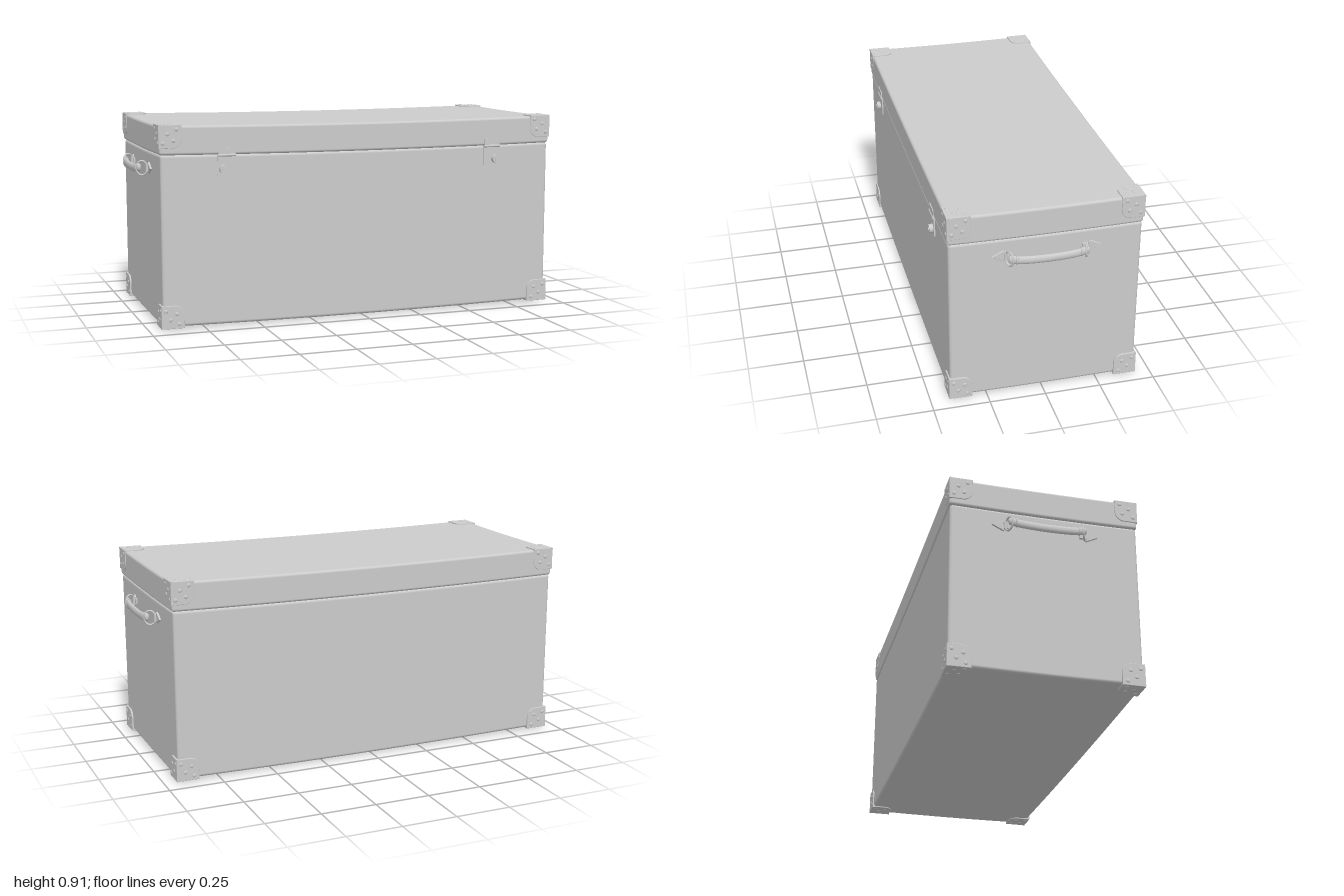
import * as THREE from 'three';

const material = new THREE.MeshStandardMaterial({ color: 0xcccccc, roughness: 0.7 });
const CZ = -0.007; // the case sits a touch behind centre

function add(parent, name, geometry, x = 0, y = 0, z = 0) {
  const mesh = new THREE.Mesh(geometry, material);
  mesh.name = name;
  mesh.position.set(x, y, z);
  parent.add(mesh);
  return mesh;
}

// Rounded box with enough rows to sag gently in the middle
function saggingBox(w, y0, y1, d, r) {
  const size = [w, y1 - y0, d], n = [24, 10, 16], m = 3;
  const geo = new THREE.BoxGeometry(...size, ...n);
  const pos = geo.attributes.position, nor = geo.attributes.normal;
  const core = new THREE.Vector3(), dir = new THREE.Vector3();
  for (let i = 0; i < pos.count; i++) {
    for (let a = 0; a < 3; a++) {
      const half = size[a] / 2, c = half - r;
      const k = Math.round((pos.getComponent(i, a) / size[a] + 0.5) * n[a]);
      let p;
      if (k < m) p = -half + (r * k) / m;
      else if (k > n[a] - m) p = half - (r * (n[a] - k)) / m;
      else p = -c + (2 * c * (k - m)) / (n[a] - 2 * m);
      const q = THREE.MathUtils.clamp(p, -c, c);
      core.setComponent(a, q);
      dir.setComponent(a, p - q);
    }
    dir.normalize();
    core.addScaledVector(dir, r);
    const u = (2 * core.x) / w, v = (2 * core.z) / d;
    const sag = 0.009 * (1 - u * u) + 0.004 * (1 - v * v);
    pos.setXYZ(i, core.x, core.y + (y0 + y1) / 2 - sag, core.z);
    nor.setXYZ(i, dir.x, dir.y, dir.z);
  }
  return geo;
}

// Corner cap: three riveted plates meeting at the origin, turned about the cube diagonal
function cornerCap() {
  const cap = new THREE.Group();
  cap.name = 'cornerCap';
  const s = 0.103, c = 0.062;
  const shape = new THREE.Shape();
  shape.moveTo(0, 0);
  shape.lineTo(-s, 0);
  shape.lineTo(-s, -c);
  shape.bezierCurveTo(-s, -0.085, -0.085, -s, -c, -s);
  shape.lineTo(0, -s);
  shape.closePath();
  const plateGeo = new THREE.ExtrudeGeometry(shape, {
    depth: 0.008, bevelThickness: 0.002, bevelSize: 0.002, bevelOffset: -0.002,
    bevelSegments: 2, curveSegments: 8,
  });
  plateGeo.translate(0, 0, -0.01);
  const rivetGeo = new THREE.SphereGeometry(0.009, 12, 8);
  rivetGeo.scale(1, 1, 0.4);
  const axis = new THREE.Vector3(1, 1, 1).normalize();
  for (let i = 0; i < 3; i++) {
    const side = new THREE.Group();
    side.name = 'cornerSide';
    side.quaternion.setFromAxisAngle(axis, (i * Math.PI * 2) / 3);
    add(side, 'cornerPlate', plateGeo);
    for (const [u, v] of [[0.04, 0.04], [0.069, 0.066], [0.02, 0.08], [0.08, 0.02]])
      add(side, 'rivet', rivetGeo, -u, -v, 0);
    cap.add(side);
  }
  return cap;
}

// Latch: hasp on the lid, plate on the body, round lock in front
function latch(side) {
  const g = new THREE.Group();
  g.name = 'latch';
  add(g, 'latchPlate', new THREE.BoxGeometry(0.085, 0.085, 0.012), 0, 0.72, 0.413);
  add(g, 'latchHasp', new THREE.BoxGeometry(0.075, 0.036, 0.012), 0, 0.782, 0.415);
  const barrel = new THREE.CylinderGeometry(0.006, 0.006, 0.08, 12).rotateZ(Math.PI / 2);
  add(g, 'latchHinge', barrel, 0, 0.766, 0.419);
  const lock = new THREE.CylinderGeometry(0.019, 0.02, 0.028, 24).rotateX(Math.PI / 2);
  add(g, 'lockKnob', lock, side * 0.017, 0.705, 0.423);
  const pin = new THREE.CylinderGeometry(0.008, 0.008, 0.004, 16).rotateX(Math.PI / 2);
  add(g, 'lockPin', pin, side * 0.017, 0.705, 0.438);
  g.position.x = side * 0.643;
  return g;
}

// Carrying handle for the +x end
function handle() {
  const g = new THREE.Group();
  g.name = 'handle';
  const curve = new THREE.CatmullRomCurve3([
    [0.0, 0.003, -0.165], [0.003, -0.005, -0.12], [0.005, -0.01, 0],
    [0.003, -0.005, 0.12], [0.0, 0.003, 0.165],
  ].map((p) => new THREE.Vector3(...p)));
  const grip = new THREE.TubeGeometry(curve, 32, 0.018, 14);
  grip.scale(0.6, 1, 1);
  add(g, 'grip', grip, 0.983, 0.695, 0);

  for (const e of [-1, 1]) {
    const end = new THREE.SphereGeometry(0.018, 14, 10).scale(0.6, 1, 0.6);
    add(g, 'gripEnd', end, 0.983, 0.698, e * 0.165);
    const collar = new THREE.TorusGeometry(0.018, 0.004, 8, 20).scale(0.62, 1, 1);
    add(g, 'gripCollar', collar, 0.984, 0.694, e * 0.14);

    // Tilted ring joining grip and mount
    const ring = new THREE.TorusGeometry(0.032, 0.0045, 8, 28).scale(0.8, 1, 1);
    ring.rotateY(e * 0.45);
    add(g, 'ring', ring, 0.97, 0.694, e * 0.168);

    // Arrow-headed mount
    const shape = new THREE.Shape();
    [[0.237, 0], [0.185, 0.026], [0.178, 0.013], [0.155, 0.013],
      [0.155, -0.013], [0.178, -0.013], [0.185, -0.026]].forEach(([z, y], i) =>
      i ? shape.lineTo(-e * z, y) : shape.moveTo(-e * z, y));
    const mount = new THREE.ExtrudeGeometry(shape, {
      depth: 0.006, bevelThickness: 0.002, bevelSize: 0.002, bevelOffset: -0.002, bevelSegments: 1,
    });
    add(g, 'handleMount', mount.rotateY(Math.PI / 2), 0.938, 0.696, 0);
    const loop = new THREE.CylinderGeometry(0.008, 0.008, 0.034, 12);
    add(g, 'mountLoop', loop, 0.947, 0.696, e * 0.178);
  }
  return g;
}

export function createModel() {
  const model = new THREE.Group();
  model.name = 'trunk';

  add(model, 'body', saggingBox(1.876, 0.014, 0.775, 0.84, 0.014), 0, 0, CZ);
  add(model, 'lid', saggingBox(1.884, 0.773, 0.902, 0.848, 0.012), 0, 0, CZ);

  // Eight corner caps
  for (const flip of [0, Math.PI])
    for (let k = 0; k < 4; k++) {
      const cap = cornerCap();
      cap.rotation.set(flip, (k * Math.PI) / 2, 0);
      const dir = new THREE.Vector3(1, 1, 1).applyEuler(cap.rotation);
      cap.position.set(dir.x * 0.946, 0.4555 + dir.y * 0.4495, CZ + dir.z * 0.426);
      model.add(cap);
    }

  for (const side of [-1, 1]) {
    model.add(latch(side));
    const h = handle();
    h.position.z = CZ;
    if (side < 0) h.rotation.y = Math.PI;
    model.add(h);
  }
  return model;
}
